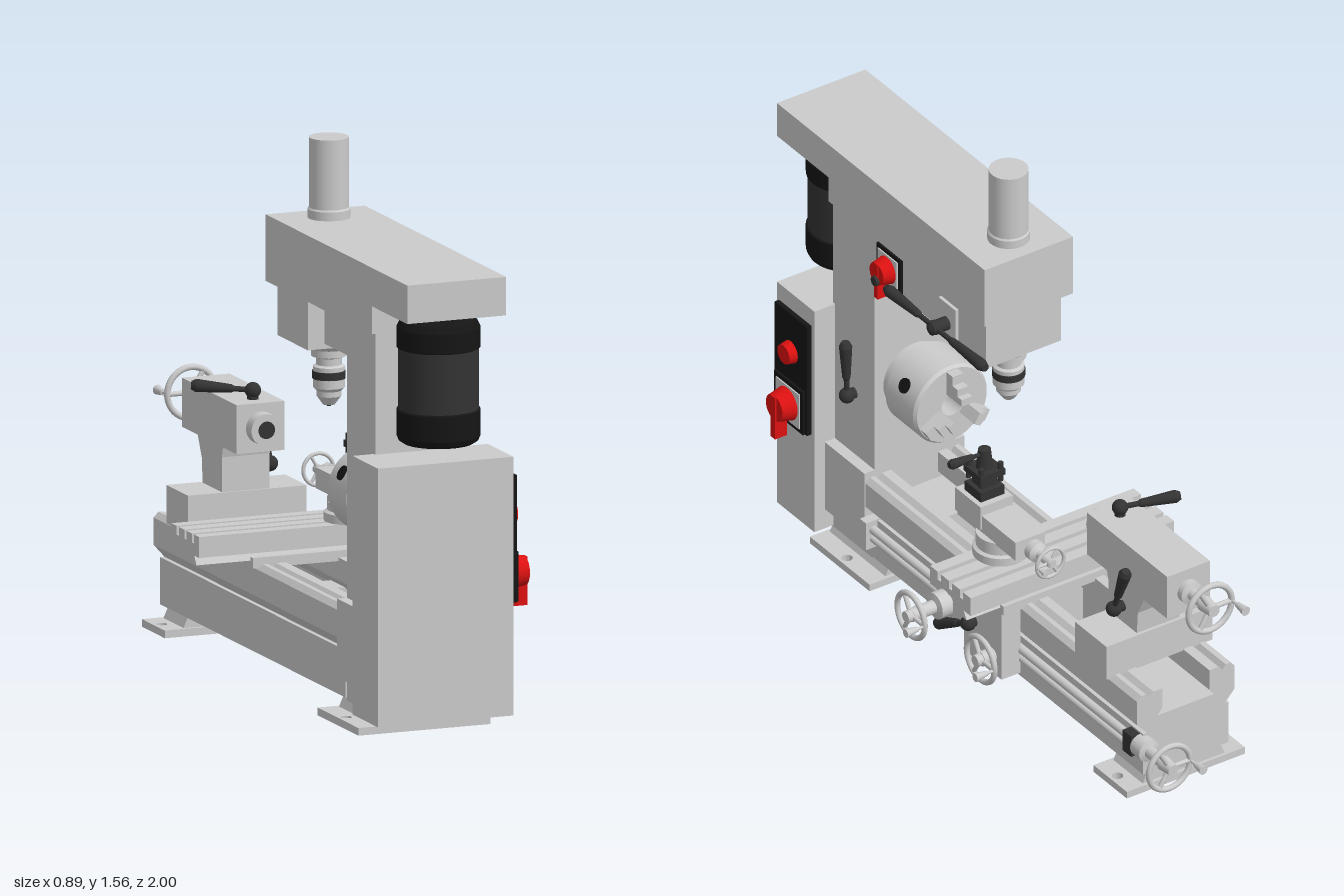
import * as THREE from 'three';

const mat = (c) => new THREE.MeshStandardMaterial({ color: c });
const grey = mat(0xcccccc), dark = mat(0x333333), black = mat(0x151515), red = mat(0xdd1111);
const V = (x, y, z) => new THREE.Vector3(x, y, z);

export function createModel() {
  const root = new THREE.Group();
  root.name = 'combinationLathe';
  const add = (name, geo, m = grey, parent = root) => {
    const mesh = new THREE.Mesh(geo, m);
    mesh.name = name;
    parent.add(mesh);
    return mesh;
  };
  // Box given by its extents on each axis
  const box = (name, x0, x1, y0, y1, z0, z1, m, parent) => {
    const g = new THREE.BoxGeometry(x1 - x0, y1 - y0, z1 - z0);
    return add(name, g.translate((x0 + x1) / 2, (y0 + y1) / 2, (z0 + z1) / 2), m, parent);
  };
  // Solid of revolution about the line from a towards b, profile = [radius, distance] pairs
  const turned = (name, a, b, profile, m, parent, seg = 32) => {
    const g = new THREE.Group();
    g.name = name;
    g.position.copy(a);
    g.quaternion.setFromUnitVectors(V(0, 1, 0), b.clone().sub(a).normalize());
    (parent || root).add(g);
    // separate bands keep the edges crisp
    for (let i = 0; i + 1 < profile.length; i++) {
      const pts = [profile[i], profile[i + 1]].map(([r, h]) => new THREE.Vector2(r, h));
      add(name, new THREE.LatheGeometry(pts, seg), m, g);
    }
    return g;
  };
  const rod = (name, a, b, r0, r1 = r0, m = grey, parent = root) => {
    const l = a.distanceTo(b);
    return turned(name, a, b, [[0, 0], [r0, 0], [r1, l], [0, l]], m, parent, 28);
  };
  const extrude = (name, pts, depth, holes = []) => {
    const s = new THREE.Shape(pts.map(([x, y]) => new THREE.Vector2(x, y)));
    for (const [x, y, r] of holes) s.holes.push(new THREE.Path().absarc(x, y, r, 0, Math.PI * 2));
    return add(name, new THREE.ExtrudeGeometry(s, { depth, bevelEnabled: false, curveSegments: 10 }));
  };
  // Clamping lever: hub on a pivot pin, slim neck and swelling grip
  const lever = (name, pivot, hub, tip, r = 0.02) => {
    rod(name + 'Pin', pivot, hub, r * 0.8, r * 0.8, dark);
    add(name + 'Hub', new THREE.SphereGeometry(r * 1.15, 16, 12), dark).position.copy(hub);
    const l = hub.distanceTo(tip);
    turned(name, hub, tip, [[r * 0.4, 0], [r * 0.4, l * 0.3], [r * 0.6, l * 0.35], [r * 0.95, l * 0.92], [r * 0.6, l], [0, l]], dark, root, 16);
  };
  // Handwheel with three spokes; axis points outwards along dir, crank sits towards side
  const handwheel = (name, c, dir, side, R) => {
    const g = new THREE.Group();
    g.name = name;
    g.position.copy(c);
    g.quaternion.setFromRotationMatrix(new THREE.Matrix4().makeBasis(side, dir.clone().cross(side), dir));
    root.add(g);
    add('rim', new THREE.TorusGeometry(R * 0.88, R * 0.11, 12, 40), grey, g);
    rod('hub', V(0, 0, -R * 0.35), V(0, 0, R * 0.25), R * 0.28, R * 0.22, grey, g);
    for (let i = 0; i < 3; i++) {
      const t = i * Math.PI * 2 / 3;
      rod('spoke', V(0, 0, 0), V(Math.cos(t) * R * 0.85, Math.sin(t) * R * 0.85, 0), R * 0.09, R * 0.09, grey, g);
    }
    rod('crankPin', V(R * 0.88, 0, 0), V(R * 0.88, 0, R * 0.5), R * 0.06, R * 0.06, grey, g);
    rod('crankHandle', V(R * 0.88, 0, R * 0.35), V(R * 0.88, 0, R * 0.85), R * 0.1, R * 0.17, grey, g);
  };

  // Feet with bolt holes and sloping shoulders
  for (const [z0, z1] of [[0.47, 0.765], [-0.8, -0.635]]) {
    const zm = (z0 + z1) / 2;
    const plate = extrude('foot', [[-0.3, -z0], [0.1, -z0], [0.1, -z1], [-0.3, -z1]], 0.022, [[-0.275, -zm, 0.016], [0.075, -zm, 0.016]]);
    plate.rotation.x = -Math.PI / 2;
    extrude('footShoulder', [[-0.24, 0.02], [0.04, 0.02], [0.02, 0.065], [-0.22, 0.065]], z1 - z0 - 0.02).position.z = z0 + 0.01;
  }

  // Bed: two mirrored rails joined by cross webs
  for (const s of [-1, 1]) {
    const rail = [[0.09, 0.06], [0.145, 0.06], [0.145, 0.195], [0.132, 0.195], [0.165, 0.232], [0.165, 0.31],
      [0.15, 0.325], [0.135, 0.325], [0.125, 0.31], [0.11, 0.325], [0.08, 0.325], [0.08, 0.26], [0.105, 0.23], [0.105, 0.1]];
    extrude('bedRail', rail.map(([x, y]) => [-0.1 + s * x, y]), 1.34).position.z = -0.8;
  }
  for (const [z0, z1] of [[-0.8, -0.45], [-0.14, -0.04], [0.36, 0.54]]) box('bedWeb', -0.21, 0.01, 0.06, 0.24, z0, z1);

  // Headstock base, column and drive cabinet
  box('headstockBase', -0.27, 0.07, 0.12, 0.345, 0.54, 0.74);
  box('headstockPlinth', -0.24, 0.04, 0.05, 0.12, 0.54, 0.74);
  box('headstockColumn', -0.24, 0.035, 0.345, 1.14, 0.54, 0.745);
  box('cabinet', -0.305, 0.105, 0.055, 0.795, 0.735, 0.92);
  lever('gearLever', V(0.03, 0.55, 0.64), V(0.06, 0.55, 0.64), V(0.065, 0.73, 0.64));

  // Lathe chuck with stepped jaws
  const cz = -0.1, cy = 0.615;
  turned('latheChuck', V(cz, cy, 0.54), V(cz, cy, 0), [[0.105, 0], [0.105, 0.035], [0.125, 0.04], [0.125, 0.175], [0.118, 0.185], [0.035, 0.185], [0.035, 0.1], [0, 0.1]], grey, root, 48);
  for (let i = 0; i < 3; i++) {
    const jaw = new THREE.Group();
    jaw.name = 'chuckJaw';
    jaw.position.set(cz, cy, 0);
    jaw.rotation.z = Math.PI / 2 + i * Math.PI * 2 / 3;
    root.add(jaw);
    [[0.04, 0.062, 0.28], [0.062, 0.085, 0.3], [0.085, 0.115, 0.325]].forEach(([a, b, z]) => box('jawStep', a, b, -0.018, 0.018, z, 0.36, grey, jaw));
    rod('keySocket', V(-0.11, 0, 0.43), V(-0.128, 0, 0.43), 0.022, 0.022, black, jaw);
  }

  // Overhead arm, milling head and column cap
  const arm = extrude('overheadArm', [[-1, 1.22], [-0.745, 1.22], [-0.745, 1.14], [0.025, 1.14], [0.025, 1.33], [-1, 1.33]], 0.3);
  arm.rotation.y = Math.PI / 2;
  arm.position.x = -0.25;
  box('headNeck', -0.17, 0.035, 1.0, 1.14, 0.2, 0.54);
  box('millingHead', -0.22, 0.035, 0.985, 1.14, -0.01, 0.21);
  box('headPlate', 0.035, 0.045, 1.0, 1.11, 0.125, 0.21);
  turned('quillTube', V(-0.1, 1.33, 0.075), V(-0.1, 2, 0.075), [[0.06, 0], [0.06, 0.025], [0.056, 0.03], [0.056, 0.23], [0, 0.23]]);
  rod('feedPin', V(0.035, 1.045, 0.17), V(0.1, 1.045, 0.17), 0.02, 0.02, dark);
  for (const z of [0.41, -0.08]) lever('feedHandle', V(0.05, 1.045, 0.17), V(0.085, 1.045, 0.17), V(0.085, 1.045, z), 0.019);

  // Milling spindle and drill chuck
  turned('millingSpindle', V(-0.1, 0.985, 0.075), V(-0.1, 0, 0.075), [[0.065, 0], [0.065, 0.018], [0.05, 0.03], [0.05, 0.05], [0.036, 0.055],
    [0.036, 0.075], [0.045, 0.08], [0.045, 0.092], [0.04, 0.1], [0.045, 0.115], [0.045, 0.14], [0.035, 0.15], [0.035, 0.165], [0.017, 0.19], [0, 0.19]]);
  rod('chuckRing', V(-0.1, 0.892, 0.075), V(-0.1, 0.87, 0.075), 0.047, 0.047, dark);
  rod('drillTip', V(-0.1, 0.81, 0.075), V(-0.1, 0.79, 0.075), 0.012, 0.006, dark);

  // Motor hanging under the arm
  turned('motorBody', V(-0.1, 0.93, 0.868), V(-0.1, 2, 0.868), [[0.113, 0], [0.113, 0.2]], dark, root, 40);
  turned('motorLowerCap', V(-0.1, 0.845, 0.868), V(-0.1, 2, 0.868), [[0, 0], [0.1, 0], [0.112, 0.008], [0.118, 0.022], [0.118, 0.095], [0.11, 0.1]], black, root, 40);
  turned('motorUpperCap', V(-0.1, 1.115, 0.868), V(-0.1, 2, 0.868), [[0.11, 0], [0.118, 0.004], [0.118, 0.06], [0.108, 0.08], [0.09, 0.09], [0.07, 0.092], [0.07, 0.11]], black, root, 40);

  // Switches: framed plate with a red knob and pointer
  const rotarySwitch = (x, y, z, s) => {
    box('switchPlate', x, x + 0.01, y - 0.062 * s, y + 0.062 * s, z - 0.062 * s, z + 0.062 * s, black);
    box('switchFace', x + 0.01, x + 0.014, y - 0.05 * s, y + 0.05 * s, z - 0.05 * s, z + 0.05 * s);
    rod('switchKnob', V(x + 0.012, y, z), V(x + 0.012 + 0.04 * s, y, z), 0.045 * s, 0.036 * s, red);
    box('switchPointer', x + 0.02 * s, x + 0.055 * s, y - 0.085 * s, y + 0.035 * s, z - 0.01 * s, z + 0.01 * s, red);
  };
  rotarySwitch(0.035, 1.067, 0.458, 0.95);
  rod('switchTip', V(0.07, 1.045, 0.458), V(0.095, 1.045, 0.458), 0.018, 0.014, dark);
  box('controlPanel', 0.105, 0.12, 0.375, 0.74, 0.75, 0.91, black);
  rod('stopButton', V(0.12, 0.615, 0.83), V(0.145, 0.615, 0.83), 0.035, 0.03, red);
  rotarySwitch(0.118, 0.447, 0.83, 1.15);

  // Tailstock
  box('tailstockBase', -0.28, 0.08, 0.32, 0.43, -0.67, -0.515);
  const neck = extrude('tailstockNeck', [[0.52, 0.43], [0.66, 0.43], [0.665, 0.5], [0.7, 0.57], [0.51, 0.57], [0.52, 0.53]], 0.145);
  neck.rotation.y = Math.PI / 2;
  neck.position.x = -0.175;
  box('tailstockBody', -0.175, -0.03, 0.56, 0.7, -0.81, -0.415);
  rod('tailstockQuill', V(-0.1, 0.63, -0.415), V(-0.1, 0.63, -0.375), 0.046);
  rod('quillBore', V(-0.1, 0.63, -0.376), V(-0.1, 0.63, -0.374), 0.025, 0.025, dark);
  turned('quillScrew', V(-0.1, 0.63, -0.81), V(-0.1, 0.63, -1), [[0.035, 0], [0.035, 0.02], [0.018, 0.025], [0.018, 0.11], [0, 0.11]]);
  handwheel('tailstockWheel', V(-0.1, 0.63, -0.92), V(0, 0, -1), V(-1, 0, 0), 0.083);
  lever('tailstockLever', V(-0.03, 0.485, -0.59), V(0.0, 0.485, -0.59), V(0.01, 0.655, -0.665));
  lever('quillLever', V(-0.1, 0.69, -0.475), V(-0.1, 0.725, -0.475), V(-0.26, 0.74, -0.54));

  // Leadscrew, feed shaft, bearing and handwheel
  rod('leadscrew', V(0.06, 0.17, 0.54), V(0.06, 0.17, -0.8), 0.013);
  rod('feedShaft', V(0.06, 0.14, 0.54), V(0.06, 0.14, -0.8), 0.011);
  box('leadscrewBearing', 0.03, 0.085, 0.11, 0.2, 0.51, 0.54);
  box('leadscrewCollar', 0.035, 0.075, 0.122, 0.19, -0.785, -0.742, dark);
  turned('leadscrewEnd', V(0.045, 0.155, -0.785), V(0.045, 0.155, -1), [[0.034, 0], [0.034, 0.045], [0.018, 0.05], [0.018, 0.13], [0, 0.13]]);
  handwheel('leadscrewWheel', V(0.045, 0.155, -0.93), V(0, 0, -1), V(-1, 0, 0), 0.079);

  // Carriage: saddle, apron and slotted cross slide
  box('saddle', -0.28, 0.13, 0.315, 0.345, -0.235, -0.045);
  box('apron', 0.065, 0.13, 0.095, 0.33, -0.225, -0.04);
  const slide = [[0.06, 0.335], [0.22, 0.335], [0.205, 0.36], [0.24, 0.36], [0.24, 0.42]];
  for (const z of [0.195, 0.14, 0.085]) slide.push([z + 0.008, 0.42], [z + 0.008, 0.395], [z - 0.008, 0.395], [z - 0.008, 0.42]);
  slide.push([0.04, 0.42], [0.04, 0.36], [0.075, 0.36]);
  const cross = extrude('crossSlide', slide, 0.69);
  cross.rotation.y = Math.PI / 2;
  cross.position.x = -0.445;
  turned('crossSlideScrew', V(0.245, 0.355, -0.135), V(1, 0.355, -0.135), [[0.018, 0], [0.018, 0.015], [0.04, 0.015], [0.04, 0.05], [0.02, 0.055], [0.02, 0.13], [0, 0.13]]);
  handwheel('crossSlideWheel', V(0.375, 0.355, -0.135), V(1, 0, 0), V(0, 0, -1), 0.077);
  rod('apronShaft', V(0.12, 0.155, -0.18), V(0.17, 0.155, -0.18), 0.022);
  handwheel('apronWheel', V(0.17, 0.155, -0.18), V(1, 0, 0), V(0, 0, -1), 0.078);
  lever('apronLever', V(0.12, 0.22, -0.09), V(0.15, 0.22, -0.09), V(0.155, 0.14, 0.06));

  // Compound slide
  turned('compoundSwivel', V(0.04, 0.42, -0.09), V(0.04, 1, -0.09), [[0.08, 0], [0.08, 0.025], [0.07, 0.03], [0.07, 0.07], [0, 0.07]]);
  box('compoundBase', -0.01, 0.09, 0.485, 0.545, -0.235, 0.05);
  box('compoundTop', -0.015, 0.095, 0.5, 0.575, -0.07, 0.055);
  turned('compoundScrew', V(0.04, 0.515, -0.235), V(0.04, 0.515, -1), [[0.014, 0], [0.014, 0.015], [0.03, 0.015], [0.03, 0.04], [0.014, 0.05], [0.014, 0.11], [0, 0.11]]);
  handwheel('compoundWheel', V(0.04, 0.515, -0.335), V(0, 0, -1), V(1, 0, 0), 0.052);

  // Four-way toolpost with clamp bolts and locking handle
  box('toolpostBase', 0.0, 0.08, 0.575, 0.605, -0.05, 0.03, dark);
  box('toolpostCore', 0.015, 0.065, 0.605, 0.64, -0.035, 0.015, dark);
  box('toolpostTop', -0.002, 0.082, 0.64, 0.66, -0.052, 0.032, dark);
  for (const x of [0.008, 0.072]) for (const z of [-0.042, 0.022]) rod('toolBolt', V(x, 0.62, z), V(x, 0.68, z), 0.008, 0.008, dark);
  rod('toolpostStud', V(0.04, 0.66, -0.01), V(0.04, 0.72, -0.01), 0.024, 0.018, dark);
  lever('toolpostHandle', V(0.04, 0.69, -0.01), V(0.04, 0.705, -0.01), V(0.16, 0.708, -0.01), 0.016);

  return root;
}
